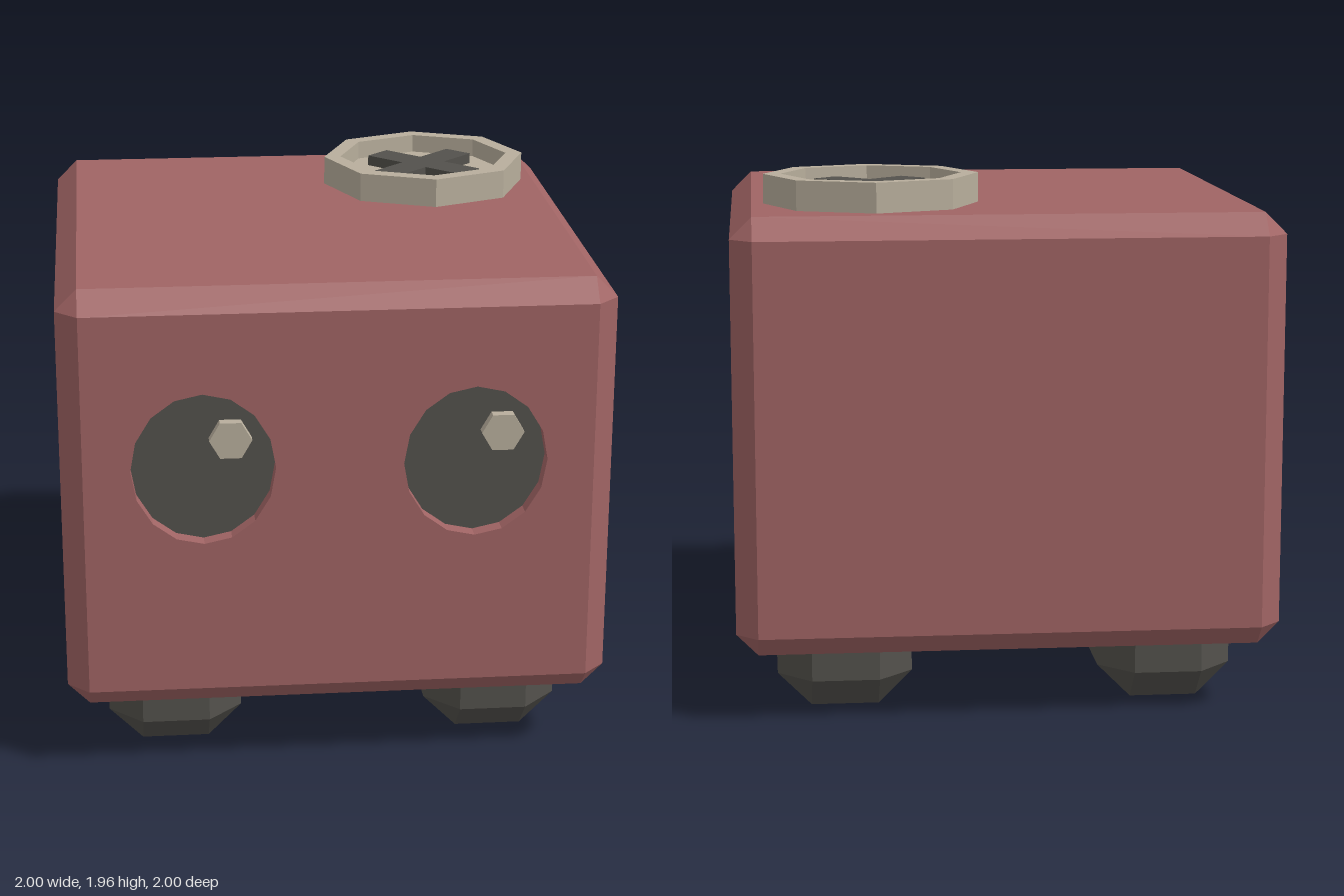
import * as THREE from 'three';
import { ConvexGeometry } from 'three/addons/geometries/ConvexGeometry.js';

const mat = (color, side = THREE.FrontSide) =>
  new THREE.MeshStandardMaterial({ color, side, flatShading: true });
const RED = 0xa06464, DARK = 0x53514c, CREAM = 0xb8ae9c;

// Box with every edge cut at 45 degrees and a small triangle at each corner
function chamferedBox(hx, hy, hz, c) {
  const points = [];
  for (const sx of [-1, 1]) for (const sy of [-1, 1]) for (const sz of [-1, 1]) {
    points.push(
      new THREE.Vector3(sx * hx, sy * (hy - c), sz * (hz - c)),
      new THREE.Vector3(sx * (hx - c), sy * hy, sz * (hz - c)),
      new THREE.Vector3(sx * (hx - c), sy * (hy - c), sz * hz));
  }
  return new ConvexGeometry(points);
}

// Drop the triangles lying in the plane z = max so that face can be replaced
function withoutFront(geometry, zMax) {
  const p = geometry.attributes.position, kept = [];
  for (let i = 0; i < p.count; i += 3) {
    if ([0, 1, 2].every(k => p.getZ(i + k) > zMax - 1e-4)) continue;
    for (let k = 0; k < 3; k++) kept.push(p.getX(i + k), p.getY(i + k), p.getZ(i + k));
  }
  const g = new THREE.BufferGeometry();
  g.setAttribute('position', new THREE.Float32BufferAttribute(kept, 3));
  g.computeVertexNormals();
  return g;
}

export function createModel() {
  const model = new THREE.Group();
  const add = (name, geometry, material, x = 0, y = 0, z = 0) => {
    const mesh = new THREE.Mesh(geometry, material);
    mesh.name = name;
    mesh.position.set(x, y, z);
    model.add(mesh);
    return mesh;
  };
  const red = mat(RED), dark = mat(DARK), cream = mat(CREAM);

  // Body shell, open at the front
  const chamfer = 0.08, bodyY = 1.05, halfH = 0.8;
  add('body', withoutFront(chamferedBox(1, halfH, 1, chamfer), 1), red, 0, bodyY, 0);

  // Front face with two oval eye holes
  const eyeX = 0.49, eyeY = 1.19, rx = 0.26, ry = 0.285, sides = 16, depth = 0.06;
  const w = 1 - chamfer, y0 = bodyY - halfH + chamfer, y1 = bodyY + halfH - chamfer;
  const face = new THREE.Shape([
    new THREE.Vector2(-w, y0), new THREE.Vector2(w, y0),
    new THREE.Vector2(w, y1), new THREE.Vector2(-w, y1)]);
  for (const s of [-1, 1]) {
    const rim = [];
    for (let i = 0; i < sides; i++) {
      const a = -i / sides * Math.PI * 2;
      rim.push(new THREE.Vector2(s * eyeX + rx * Math.cos(a), eyeY + ry * Math.sin(a)));
    }
    face.holes.push(new THREE.Path(rim));
  }
  add('frontFace', new THREE.ShapeGeometry(face), red, 0, 0, 1);

  // Sunken eyes with a hexagonal glint
  for (const s of [-1, 1]) {
    const side = s > 0 ? 'left' : 'right';
    const wall = new THREE.CylinderGeometry(1, 1, depth, sides, 1, true)
      .rotateX(Math.PI / 2).scale(rx, ry, 1);
    add(side + 'EyeSocket', wall, mat(RED, THREE.BackSide), s * eyeX, eyeY, 1 - depth / 2);
    const disc = new THREE.CircleGeometry(1, sides).scale(rx, ry, 1);
    add(side + 'Eye', disc, dark, s * eyeX, eyeY, 1 - depth);
    const glint = new THREE.CylinderGeometry(0.077, 0.077, 0.04, 6)
      .rotateY(Math.PI / 2).rotateX(Math.PI / 2);
    add(side + 'EyeGlint', glint, cream, s * eyeX + 0.1, eyeY + 0.1, 1 - depth + 0.02);
  }

  // Octagonal cap with a raised rim and sunken floor
  const capX = 0.475, capZ = -0.45;
  const profile = [[0.4, 1.84], [0.4, 1.96], [0.335, 1.96], [0.335, 1.89], [0, 1.89]]
    .map(([x, y]) => new THREE.Vector2(x, y));
  add('cap', new THREE.LatheGeometry(profile, 8), cream, capX, 0, capZ);

  // Cross standing on the cap floor
  const a = 0.06, l = 0.235;
  const outline = [[a, a], [a, l], [-a, l], [-a, a], [-l, a], [-l, -a],
    [-a, -a], [-a, -l], [a, -l], [a, -a], [l, -a], [l, a]]
    .map(([x, y]) => new THREE.Vector2(x, y));
  const cross = new THREE.ExtrudeGeometry(new THREE.Shape(outline), { depth: 0.04, bevelEnabled: false })
    .rotateX(-Math.PI / 2).rotateY(Math.PI / 4);
  add('capCross', cross, dark, capX, 1.89, capZ);

  // Four faceted feet, upper halves sunk into the body
  const foot = chamferedBox(0.25, 0.25, 0.25, 0.125);
  for (const sx of [-1, 1]) for (const sz of [-1, 1]) {
    add((sz > 0 ? 'front' : 'back') + (sx > 0 ? 'Left' : 'Right') + 'Foot',
      foot, dark, sx * 0.6, 0.25, sz * 0.6);
  }
  return model;
}
